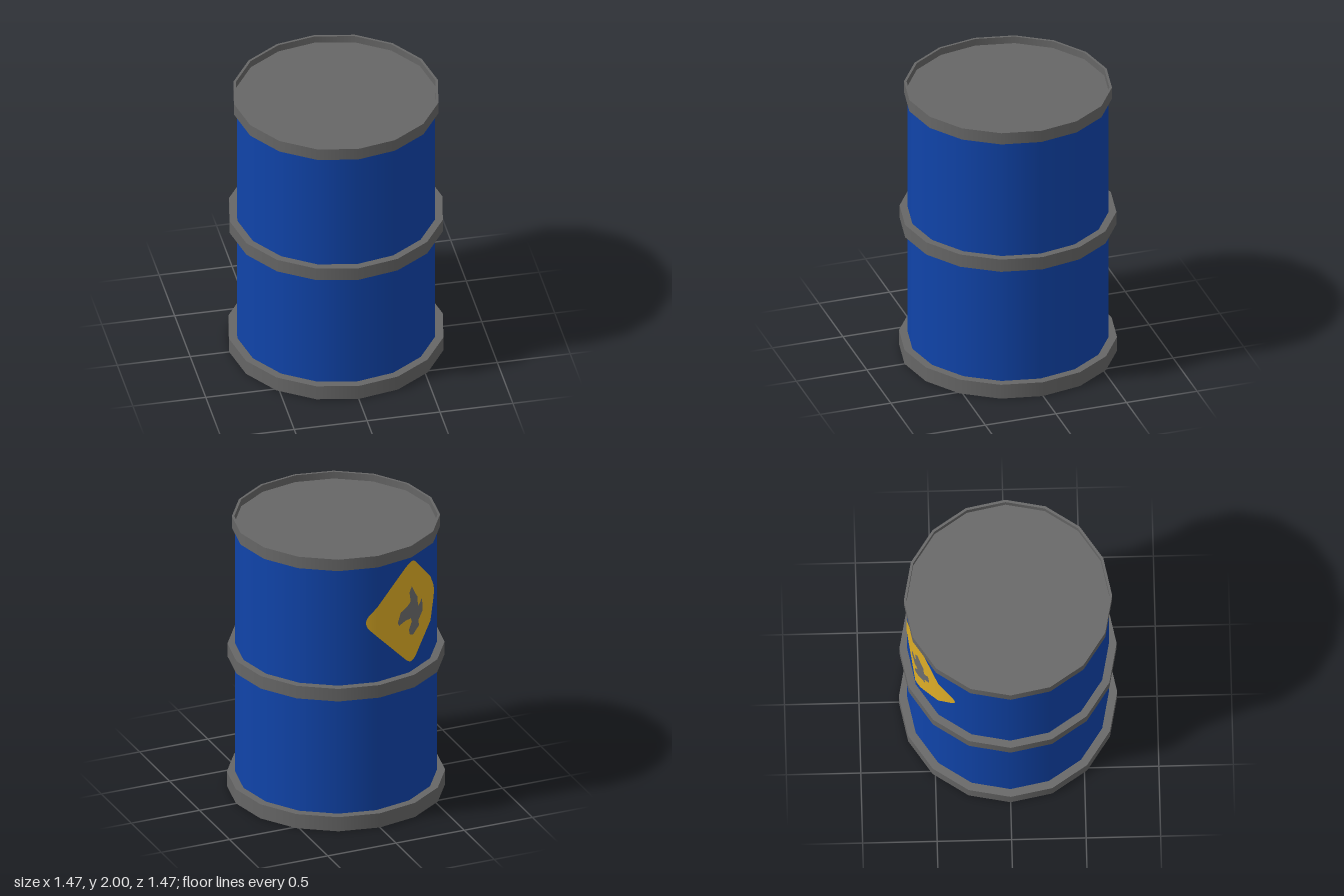
import * as THREE from 'three';
import { mergeGeometries } from 'three/addons/utils/BufferGeometryUtils.js';

const SIDES = 16, STEP = (Math.PI * 2) / SIDES, R = 0.677;

function material(name, color) {
  const m = new THREE.MeshStandardMaterial({ color });
  m.name = name;
  return m;
}

// Turned part: smooth around the axis, sharp between profile segments
function turned(profile) {
  const bands = [];
  for (let i = 0; i + 1 < profile.length; i++) {
    const pair = [profile[i], profile[i + 1]].map(([x, y]) => new THREE.Vector2(x, y));
    bands.push(new THREE.LatheGeometry(pair, SIDES));
  }
  return mergeGeometries(bands);
}

// Cut a convex polygon of [angle, height] points at an angle; keep one side
function clip(poly, angle, sign) {
  const out = [];
  poly.forEach((a, i) => {
    const b = poly[(i + 1) % poly.length];
    const da = (a[0] - angle) * sign, db = (b[0] - angle) * sign;
    if (da >= 0) out.push(a);
    if ((da > 0 && db < 0) || (da < 0 && db > 0)) {
      const t = da / (da - db);
      out.push([angle, a[1] + (b[1] - a[1]) * t]);
    }
  });
  return out;
}

// Wrap a flat shape onto the facets of the barrel wall
function wrapped(shape, centreAngle, centreY, radius) {
  const flat = new THREE.ShapeGeometry(shape, 6);
  const p = flat.attributes.position, index = flat.index;
  const pos = [], nor = [];
  const put = ([angle, y], k) => {
    const t = angle / STEP - k, a = k * STEP, b = a + STEP;
    pos.push(radius * (Math.sin(a) * (1 - t) + Math.sin(b) * t), y,
      radius * (Math.cos(a) * (1 - t) + Math.cos(b) * t));
    nor.push(Math.sin(angle), 0, Math.cos(angle));
  };
  for (let i = 0; i < index.count; i += 3) {
    const tri = [0, 1, 2].map((j) => {
      const v = index.getX(i + j);
      return [centreAngle + p.getX(v) / R, centreY + p.getY(v)];
    });
    for (let k = 0; k < SIDES; k++) {
      const poly = clip(clip(tri, k * STEP, 1), (k + 1) * STEP, -1);
      for (let j = 1; j + 1 < poly.length; j++) {
        [poly[0], poly[j], poly[j + 1]].forEach((q) => put(q, k));
      }
    }
  }
  const g = new THREE.BufferGeometry();
  g.setAttribute('position', new THREE.Float32BufferAttribute(pos, 3));
  g.setAttribute('normal', new THREE.Float32BufferAttribute(nor, 3));
  return g;
}

// Diamond with rounded corners
function diamondShape(half, cut) {
  const s = new THREE.Shape();
  const corners = [[1, 0], [0, 1], [-1, 0], [0, -1]];
  corners.forEach(([x, y], i) => {
    const [px, py] = corners[(i + 3) % 4], [nx, ny] = corners[(i + 1) % 4];
    const near = (ox, oy) => [x * (half - cut) + ox * cut, y * (half - cut) + oy * cut];
    const a = near(px, py), b = near(nx, ny);
    if (i === 0) s.moveTo(...a); else s.lineTo(...a);
    s.quadraticCurveTo(x * half, y * half, ...b);
  });
  s.closePath();
  return s;
}

// Flame outline, counter-clockwise from the top tip
function flameShape() {
  const pts = [
    [0, 0.185], [-0.03, 0.15], [-0.015, 0.08], [-0.05, 0.05], [-0.1, 0.02],
    [-0.125, -0.05], [-0.115, -0.075], [-0.06, -0.05], [-0.015, -0.045], [0, -0.075],
    [-0.035, -0.125], [-0.025, -0.165], [0.015, -0.178], [0.09, -0.14], [0.08, -0.1],
    [0.13, -0.05], [0.135, -0.01], [0.122, 0.05], [0.1, 0.02], [0.075, 0.01],
    [0.07, 0.08], [0.04, 0.12],
  ];
  return new THREE.Shape(pts.map(([x, y]) => new THREE.Vector2(x, y)));
}

export function createModel() {
  const model = new THREE.Group();
  model.name = 'barrel';
  const blue = material('blue paint', 0x1044aa);
  const grey = material('grey metal', 0x666666);
  const yellow = material('yellow label', 0xdfae26);
  const symbolGrey = material('symbol grey', 0x6c6c6c);

  const add = (name, geometry, mat) => {
    const mesh = new THREE.Mesh(geometry, mat);
    mesh.name = name;
    model.add(mesh);
  };

  // Wall
  add('wall', turned([[R, 0.05], [R, 1.94]]), blue);

  // Metal base, middle hoop, and top rim with its sunken lid
  add('base', turned([[0, 0], [0.733, 0], [0.733, 0.105], [0.66, 0.105]]), grey);
  add('middleHoop', turned([[0.66, 0.962], [0.729, 0.962], [0.729, 1.055], [0.66, 1.055]]), grey);
  add('topRimAndLid', turned([
    [0.66, 1.915], [0.699, 1.915], [0.699, 2], [0.682, 2], [0.682, 1.95], [0, 1.95],
  ]), grey);

  // Warning label on the back, toward -x
  const angle = THREE.MathUtils.degToRad(205);
  add('warningLabel', wrapped(diamondShape(0.4, 0.06), angle, 1.5, R + 0.003), yellow);
  add('flameSymbol', wrapped(flameShape(), angle, 1.5, R + 0.006), symbolGrey);

  return model;
}
